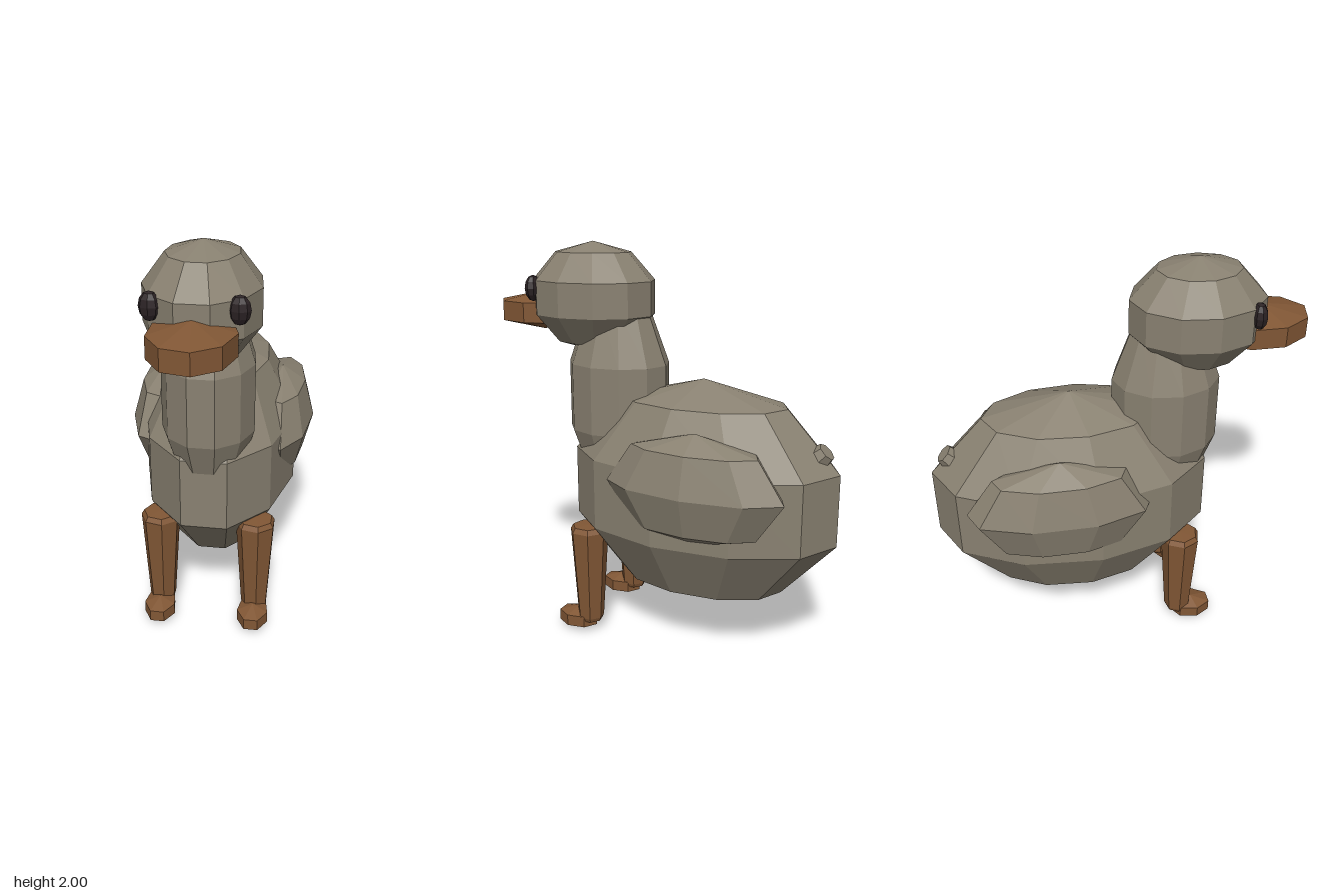
import * as THREE from 'three';

export function createModel() {
  const model = new THREE.Group();
  model.name = 'duck';

  const material = (name, color) => {
    const m = new THREE.MeshStandardMaterial({ color, flatShading: true });
    m.name = name;
    return m;
  };
  const feather = material('grey feather', 0x898171);
  const horn = material('brown horn', 0x815735);
  const dark = material('dark eye', 0x2b2224);

  const add = (name, geometry, mat, position) => {
    const mesh = new THREE.Mesh(geometry, mat);
    mesh.name = name;
    mesh.position.set(...position);
    model.add(mesh);
    return mesh;
  };

  // Faceted ellipsoid; turn decides which way its first edge column points
  const REAR = -Math.PI / 2, LEFT = Math.PI;
  const blob = (name, mat, position, radii, sides, rings, turn) =>
    add(name, new THREE.SphereGeometry(1, sides, rings).rotateY(turn).scale(...radii), mat, position);

  // Body, neck and head
  blob('body', feather, [0, 0.777, -0.23], [0.42, 0.578, 0.735], 11, 5, REAR);
  blob('neck', feather, [0, 1.23, 0.245], [0.237, 0.55, 0.279], 11, 5, REAR);
  blob('head', feather, [0, 1.725, 0.387], [0.28, 0.275, 0.343], 11, 5, REAR);

  // Flat bill
  blob('bill', horn, [0, 1.645, 0.69], [0.22, 0.1, 0.28], 9, 3, LEFT);

  // Tail stub, leaning up and back
  const tail = add('tail', new THREE.CylinderGeometry(0.048, 0.068, 0.08, 7), feather, [0, 1.035, -0.83]);
  tail.rotation.x = -Math.PI / 4;

  for (const [side, s] of [['left', 1], ['right', -1]]) {
    blob(side + 'Wing', feather, [s * 0.31, 0.885, -0.32], [0.172, 0.275, 0.46], 9, 4, LEFT);
    blob(side + 'Eye', dark, [s * 0.187, 1.772, 0.628], [0.048, 0.065, 0.037], 8, 6, 0);

    // Tapered leg with a slightly bevelled top
    const leg = [[0, 0.05], [0.06, 0.06], [0.068, 0.08], [0.1, 0.56], [0.085, 0.585], [0, 0.588]];
    add(side + 'Leg',
      new THREE.LatheGeometry(leg.map(([r, y]) => new THREE.Vector2(r, y)), 7, -Math.PI / 2),
      horn, [s * 0.24, 0, 0.3]);

    // Foot
    blob(side + 'Foot', horn, [s * 0.24, 0.058, 0.375], [0.092, 0.058, 0.125], 7, 3, REAR);
  }
  return model;
}
